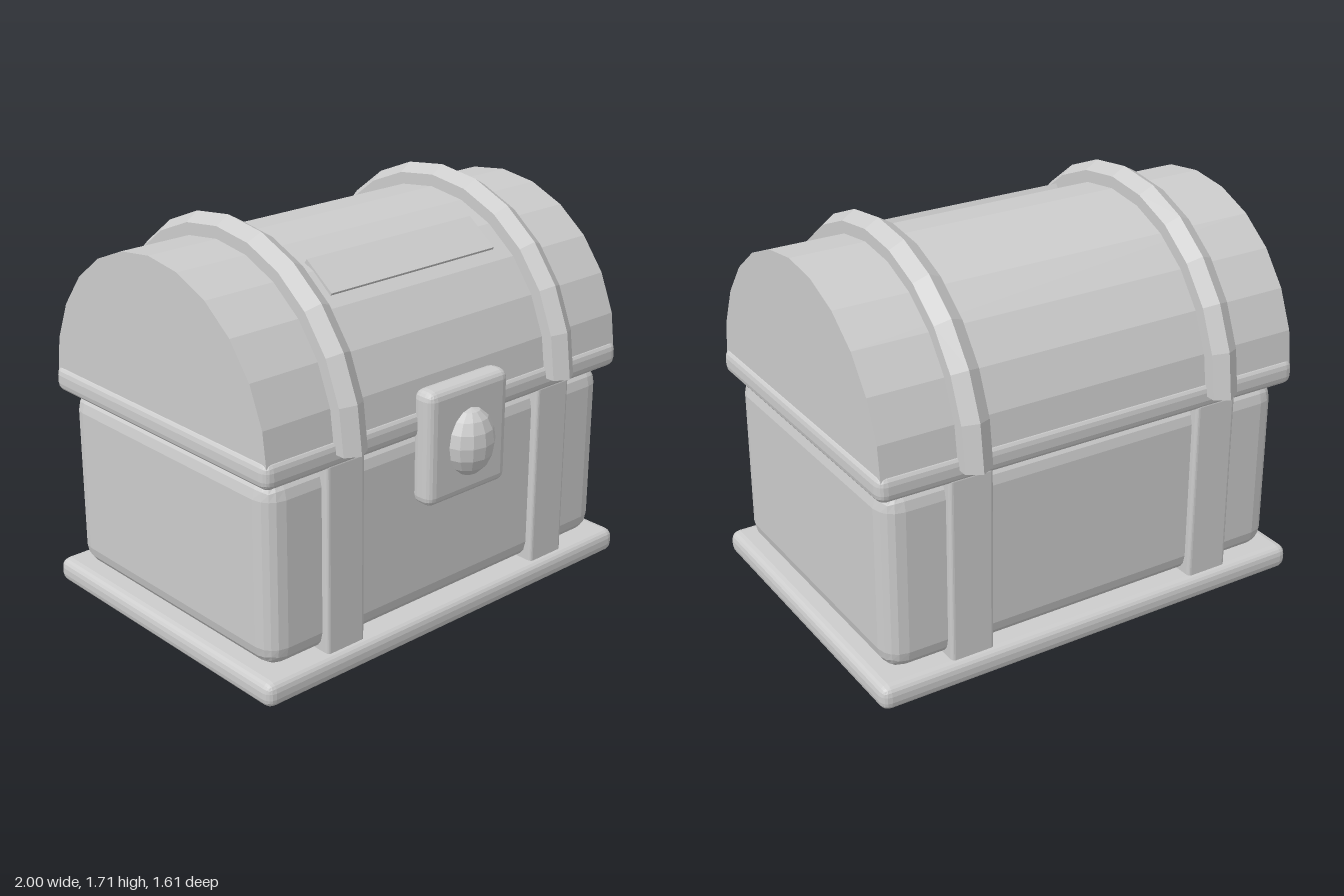
import * as THREE from 'three';
import { RoundedBoxGeometry } from 'three/addons/geometries/RoundedBoxGeometry.js';

export function createModel() {
  const group = new THREE.Group();
  group.name = 'chest';
  const grey = new THREE.MeshStandardMaterial({ color: 0xcccccc, flatShading: true, side: THREE.DoubleSide });
  grey.name = 'plain grey';

  const CZ = -0.036; // depth centre of the box and lid
  const LID_Y = 0.945; // axis height of the lid

  function add(name, geometry, x = 0, y = 0, z = 0) {
    const mesh = new THREE.Mesh(geometry, grey);
    mesh.name = name;
    mesh.position.set(x, y, z);
    group.add(mesh);
    return mesh;
  }

  // Rounded box given by its extents on each axis
  function block(name, [x0, x1], [y0, y1], [z0, z1], radius) {
    const geometry = new RoundedBoxGeometry(x1 - x0, y1 - y0, z1 - z0, 2, radius);
    return add(name, geometry, (x0 + x1) / 2, (y0 + y1) / 2, (z0 + z1) / 2);
  }

  // Stacked box parts
  block('base', [-1, 1], [0, 0.107], [-0.747, 0.675], 0.04);
  block('body', [-0.935, 0.935], [0.1, 0.9], [-0.68, 0.608], 0.09);
  block('rim', [-0.975, 0.975], [0.885, 1.0], [-0.722, 0.65], 0.04);

  // Half-round lid: 12 facets over 180 degrees, axis along x
  const arch = new THREE.Shape();
  for (let i = 0; i <= 12; i++) {
    const a = (i / 12) * Math.PI;
    const p = [0.677 * Math.cos(a), 0.677 * Math.sin(a)];
    if (i === 0) arch.moveTo(...p);
    else arch.lineTo(...p);
  }
  const lid = new THREE.ExtrudeGeometry(arch, { depth: 1.92, bevelEnabled: false });
  lid.translate(0, 0, -0.96).rotateY(Math.PI / 2);
  add('lid', lid, 0, LID_Y, CZ);

  // Straps: flat bands round the body, hexagonal hoops over the lid
  for (const side of [-1, 1]) {
    const x = side * 0.578;
    block('bodyStrap', [x - 0.096, x + 0.096], [0.09, 0.91], [-0.713, 0.641], 0.015);
    const hoop = new THREE.TorusGeometry(0.693, 0.07, 6, 12, Math.PI);
    hoop.rotateY(Math.PI / 2);
    add('lidStrap', hoop, x, LID_Y, CZ);
  }

  // Thin panel lying on the front slope of the lid
  const panel = new THREE.BoxGeometry(0.884, 0.175, 0.024);
  panel.translate(0, 0, -0.012);
  add('lidPanel', panel, 0, 1.519, 0.335).rotation.x = -0.952;

  // Lock plate and its oval knob
  block('lockPlate', [-0.22, 0.22], [0.605, 1.09], [0.615, 0.722], 0.04);
  const knob = new THREE.SphereGeometry(1, 12, 8);
  knob.scale(0.115, 0.142, 0.09);
  add('lockKnob', knob, 0, 0.84, 0.72);

  return group;
}
